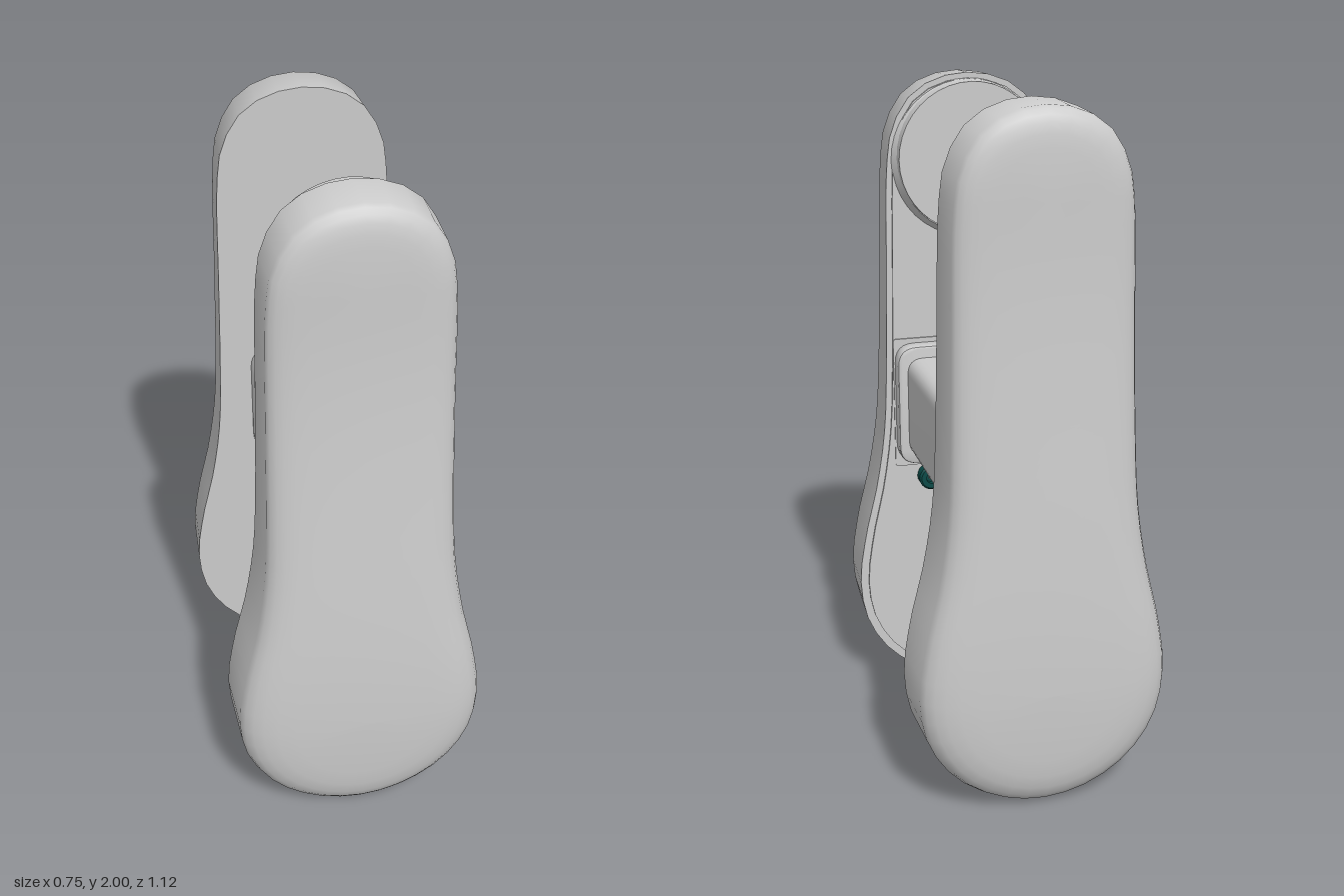
import * as THREE from 'three';
import { toCreasedNormals } from 'three/addons/utils/BufferGeometryUtils.js';

const grey = new THREE.MeshStandardMaterial({ color: 0xcccccc });
const teal = new THREE.MeshStandardMaterial({ color: 0x0b4a47 });

// Right half of the paddle outline, bottom to top
const HALF = [[0, 0], [0.14, 0.028], [0.265, 0.11], [0.345, 0.235], [0.369, 0.38], [0.348, 0.54],
  [0.305, 0.72], [0.277, 0.9], [0.266, 1.1], [0.258, 1.4], [0.247, 1.75], [0.228, 1.85],
  [0.17, 1.942], [0.09, 1.986], [0, 2]];

function outline(count) {
  const left = HALF.slice(1, -1).reverse().map(([x, y]) => [-x, y]);
  const points = [...HALF, ...left].map(([x, y]) => new THREE.Vector3(x, y, 0));
  return new THREE.CatmullRomCurve3(points, true).getSpacedPoints(count).slice(0, count);
}

// Move an outline point towards the paddle's centre line by fraction s
function inset(p, s) {
  const spineY = THREE.MathUtils.clamp(p.y, 0.38, 1.76);
  return [p.x * (1 - s), p.y + (spineY - p.y) * s];
}

function add(parent, name, geometry, material = grey, x = 0, y = 0, z = 0) {
  const mesh = new THREE.Mesh(geometry, material);
  mesh.name = name;
  mesh.position.set(x, y, z);
  parent.add(mesh);
  return mesh;
}

// Padded body: flat inner face, side wall, rounded edge and a face that thins towards the top
function paddleGeometry(inner, thickBottom, thickTop) {
  const N = 72;
  const points = outline(N);
  // [inset fraction, drop below the outer face], null = inner plane
  const rings = [[1, null], [0, null], [0.02, 0.075], [0.05, 0.052], [0.11, 0.034], [0.19, 0.021],
    [0.3, 0.012], [0.45, 0.007], [0.7, 0.002], [1, 0]];
  const position = [];
  const index = [];
  rings.forEach(([s, drop], i) => points.forEach((p, j) => {
    const [x, y] = inset(p, s);
    const t = 1 - THREE.MathUtils.smoothstep(y, 0.33, 1.72);
    const outer = THREE.MathUtils.lerp(thickTop, thickBottom, t);
    position.push(x, y, drop === null ? inner : outer - drop * (0.6 + 0.4 * t));
    if (i === rings.length - 1) return;
    const a = i * N + j, b = i * N + (j + 1) % N;
    index.push(a, b, a + N, b, b + N, a + N);
  }));
  const g = new THREE.BufferGeometry();
  g.setAttribute('position', new THREE.Float32BufferAttribute(position, 3));
  g.setIndex(index);
  return toCreasedNormals(g, 0.9);
}

// Rounded rectangle from (x0, y0) to (x1, y1), extruded between two depths
function roundedBar(x0, x1, y0, y1, r, z0, z1, bevel = 0) {
  const s = new THREE.Shape();
  s.moveTo(x0 + r, y0);
  s.lineTo(x1 - r, y0).quadraticCurveTo(x1, y0, x1, y0 + r);
  s.lineTo(x1, y1 - r).quadraticCurveTo(x1, y1, x1 - r, y1);
  s.lineTo(x0 + r, y1).quadraticCurveTo(x0, y1, x0, y1 - r);
  s.lineTo(x0, y0 + r).quadraticCurveTo(x0, y0, x0 + r, y0);
  const g = new THREE.ExtrudeGeometry(s, {
    depth: z1 - z0 - 2 * bevel, curveSegments: 6, bevelEnabled: bevel > 0,
    bevelThickness: bevel, bevelSize: bevel, bevelOffset: -bevel, bevelSegments: 2,
  });
  g.translate(0, 0, z0 + bevel);
  return toCreasedNormals(g, 0.6);
}

// Socket-headed screw facing -z
function addScrew(parent, x, y) {
  const screw = new THREE.Group();
  screw.name = 'screw';
  const profile = [[0.04, 0], [0.04, 0.034], [0.034, 0.04], [0.018, 0.04], [0.018, 0.022], [0, 0.022]];
  const head = new THREE.LatheGeometry(profile.map(([r, h]) => new THREE.Vector2(r, h)), 20);
  add(screw, 'screwHead', toCreasedNormals(head, 0.5), teal);
  add(screw, 'screwCore', new THREE.CylinderGeometry(0.009, 0.009, 0.012, 6), grey, 0, 0.024, 0);
  screw.rotation.x = -Math.PI / 2;
  screw.position.set(x, y, 0.296);
  parent.add(screw);
}

export function createModel() {
  const model = new THREE.Group();
  model.name = 'twinPaddle';

  // Front and back paddles
  add(model, 'frontPaddle', paddleGeometry(0.3, 0.561, 0.471), grey, 0.005, 0, 0);
  const back = add(model, 'backPaddle', paddleGeometry(0.31, 0.557, 0.488), grey, -0.006, 0, 0);
  back.rotation.y = Math.PI;

  // Inset cover plate on the inner side of the front paddle
  const cover = new THREE.Shape(outline(72).map((p) => {
    const [x, y] = inset(p, 0.07);
    return new THREE.Vector2(x, y);
  }));
  const coverGeometry = new THREE.ExtrudeGeometry(cover, { depth: 0.012, bevelEnabled: false });
  add(model, 'innerCover', toCreasedNormals(coverGeometry, 0.6), grey, 0.005, 0, 0.293);
  add(model, 'mountPlate', roundedBar(-0.24, 0.25, 0.78, 1.2, 0.01, 0.288, 0.3));

  // Round boss near the top, with a skirt flaring downwards
  const boss = add(model, 'topBoss', new THREE.CylinderGeometry(0.222, 0.224, 0.055, 40), grey, 0.005, 1.757, 0.2725);
  boss.rotation.x = -Math.PI / 2;
  const skirt = add(model, 'bossSkirt', new THREE.CylinderGeometry(0.218, 0.236, 0.03, 40), grey, 0.005, 1.748, 0.281);
  skirt.rotation.x = -Math.PI / 2;

  // Screws
  add(model, 'screwTab', new THREE.BoxGeometry(0.09, 0.09, 0.01), grey, 0, 1.47, 0.29);
  addScrew(model, 0, 1.47);
  for (const side of [-1, 1]) addScrew(model, side * 0.14, 0.74);

  // Connecting bar with a flange at each end
  add(model, 'connectingBar', roundedBar(-0.145, 0.215, 0.83, 1.148, 0.05, -0.27, 0.27));
  add(model, 'frontFlange', roundedBar(-0.2, 0.245, 0.8, 1.185, 0.06, 0.242, 0.3, 0.008));
  add(model, 'backFlange', roundedBar(-0.175, 0.228, 0.802, 1.168, 0.06, -0.32, -0.24, 0.006));

  return model;
}
